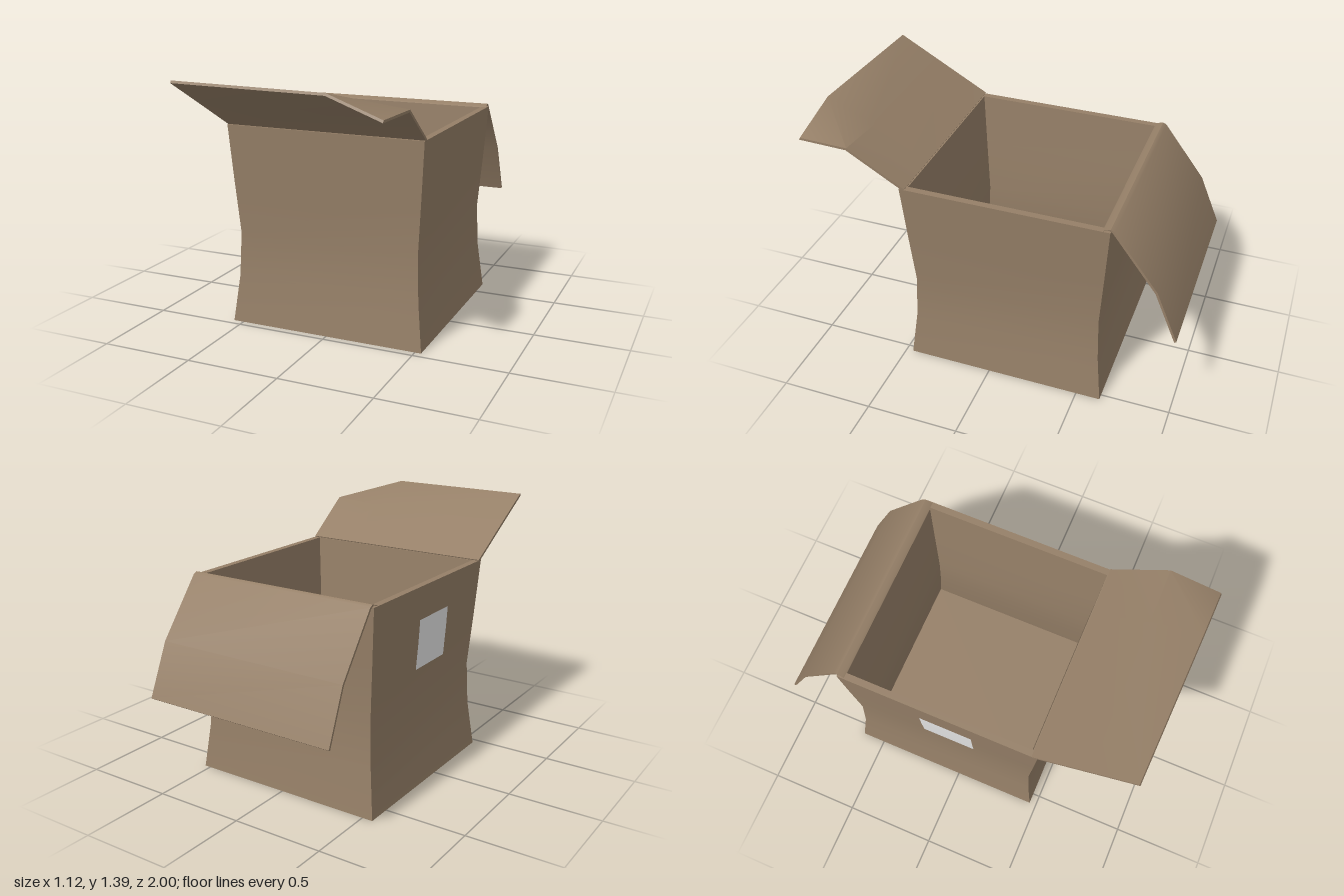
import * as THREE from 'three';
import { toCreasedNormals } from 'three/addons/utils/BufferGeometryUtils.js';

const cardboard = new THREE.MeshStandardMaterial({ color: 0x957f67 });
cardboard.name = 'cardboard';
const paper = new THREE.MeshStandardMaterial({ color: 0xf4f4f4 });
paper.name = 'label paper';

// Surface through rows of points; several grids join into one geometry
function surface(grids, crease = 0.7) {
  const pos = [];
  for (const rows of grids) {
    for (let r = 0; r < rows.length - 1; r++) {
      for (let i = 0; i < rows[r].length - 1; i++) {
        const a = rows[r][i], b = rows[r][i + 1];
        const c = rows[r + 1][i + 1], d = rows[r + 1][i];
        pos.push(...a, ...d, ...b, ...b, ...d, ...c);
      }
    }
  }
  const geo = new THREE.BufferGeometry();
  geo.setAttribute('position', new THREE.Float32BufferAttribute(pos, 3));
  return toCreasedNormals(geo, crease);
}

// Thin closed sheet: the rows give its upper face, the offset its underside
function sheet(rows, offset) {
  const under = rows.map(row => row.map(p => p.map((v, k) => v + offset[k])));
  const rings = rows.map((row, r) => [...row, ...[...under[r]].reverse(), row[0]]);
  const n = rows.length - 1;
  return surface([rings, [under[0], rows[0]], [rows[n], under[n]]]);
}

export function createModel() {
  const model = new THREE.Group();
  const add = (name, geometry, material = cardboard, parent = model) => {
    const mesh = new THREE.Mesh(geometry, material);
    mesh.name = name;
    parent.add(mesh);
    return mesh;
  };

  // Body: four mitred walls, pinched at mid height
  const body = new THREE.Group();
  body.name = 'body';
  body.position.set(-0.012, 0, -0.085);
  model.add(body);
  const outer = [[0.546, 0], [0.516, 0.26], [0.506, 0.5], [0.527, 0.8], [0.546, 1.095]];
  const inner = outer.map(([h, y]) => [h - 0.036, y]).reverse();
  const profile = [[0.515, 0], ...outer, ...inner];
  const wallRows = profile.map(([h, y]) => [[h, y, h], [-h, y, h]]);
  ['frontWall', 'leftWall', 'backWall', 'rightWall'].forEach((name, k) => {
    add(name, surface([wallRows]), cardboard, body).rotation.y = k * Math.PI / 2;
  });
  const floor = add('floor', new THREE.BoxGeometry(1.04, 0.03, 1.04), cardboard, body);
  floor.position.y = 0.015;

  // Front flap, raised, with one bent corner
  add('frontFlap', sheet([
    [[-0.56, 1.1, 0.43], [0.26, 1.1, 0.43], [0.535, 1.1, 0.43]],
    [[-0.558, 1.262, 0.72], [0.26, 1.268, 0.72], [0.555, 1.29, 0.72]],
    [[-0.557, 1.387, 0.945], [0.26, 1.383, 0.978], [0.538, 1.286, 0.992]],
  ], [0, -0.012, 0.006]));

  // Back flap, folded over the rim and drooping
  const droop = [
    [-0.6, 1.1, 0.54], [-0.63, 1.11, 0.538], [-0.65, 1.1, 0.538],
    [-0.88, 0.8, 0.542], [-0.997, 0.527, 0.546],
  ];
  add('backFlap', sheet(
    droop.map(([z, y, h]) => [[h - 0.012, y, z], [-h - 0.012, y, z]]),
    [0, -0.007, 0.01],
  ));

  // Paper label on the right wall
  add('label', surface([
    [[-0.534, 0.65], [-0.546, 0.8], [-0.553, 0.92]].map(([x, y]) => [[x, y, 0.1], [x, y, -0.19]]),
  ]), paper);

  return model;
}
